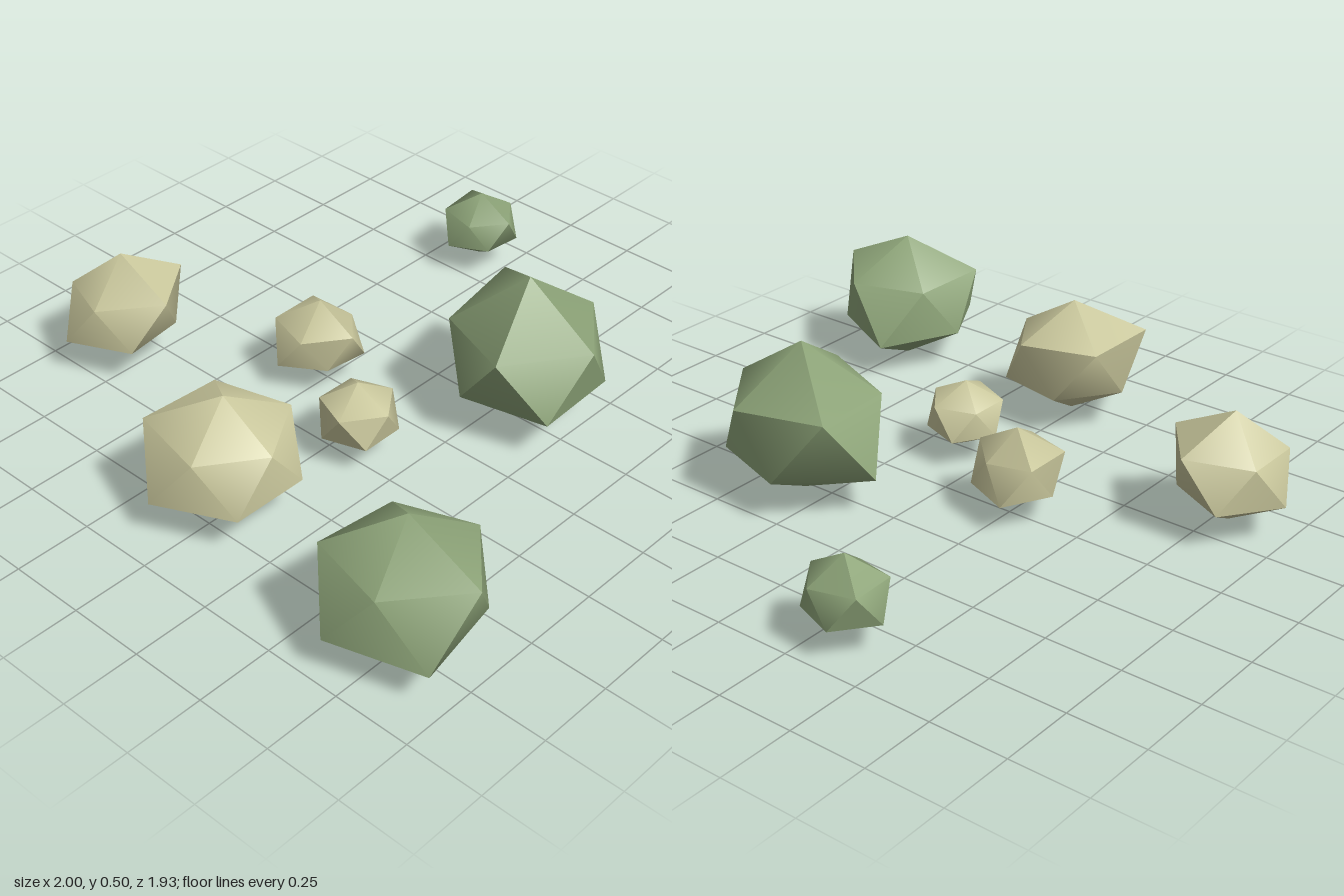
import * as THREE from 'three';
import { toCreasedNormals } from 'three/addons/utils/BufferGeometryUtils.js';

const SQUASH = 0.4; // ring height per unit of ring radius

// Twenty-sided stone: two poles and a zigzag ring of ten corners (even = upper, odd = lower).
function stoneGeometry(top, bottom, radii) {
  const pos = [0, top, 0, 0, bottom, 0];
  radii.forEach((r, i) => {
    const a = (i * Math.PI) / 5;
    pos.push(r * Math.cos(a), (i % 2 ? -1 : 1) * SQUASH * r, r * Math.sin(a));
  });
  const index = [];
  const ring = (i) => 2 + (i % 10);
  for (let i = 0; i < 10; i += 2) {
    const u = ring(i), l = ring(i + 1), u2 = ring(i + 2), l2 = ring(i + 3);
    index.push(0, u2, u, u, u2, l, l, u2, l2, 1, l, l2);
  }
  const geo = new THREE.BufferGeometry();
  geo.setAttribute('position', new THREE.Float32BufferAttribute(pos, 3));
  geo.setIndex(index);
  return toCreasedNormals(geo, 0.73);
}

export function createModel() {
  const sand = new THREE.MeshStandardMaterial({ name: 'sandStone', color: 0xc9c79c });
  const moss = new THREE.MeshStandardMaterial({ name: 'mossStone', color: 0x8fa67a });

  // name, material, centre, top and bottom heights, ring radii
  const stones = [
    ['smallMossStone', moss, [-0.335, 0.155, -0.847], 0.275, 0.04,
      [0.123, 0.112, 0.107, 0.128, 0.123, 0.134, 0.136, 0.13, 0.118, 0.124]],
    ['largeMossStone', moss, [0.33, 0.24, -0.28], 0.505, 0.01,
      [0.251, 0.257, 0.262, 0.236, 0.24, 0.287, 0.29, 0.247, 0.238, 0.245]],
    ['frontMossStone', moss, [0.742, 0.222, 0.713], 0.44, 0.0,
      [0.253, 0.27, 0.209, 0.263, 0.24, 0.225, 0.212, 0.258, 0.22, 0.217]],
    ['middleSandStone', sand, [-0.268, 0.155, 0.008], 0.29, 0.033,
      [0.14, 0.124, 0.139, 0.155, 0.144, 0.135, 0.145, 0.152, 0.112, 0.138]],
    ['smallSandStone', sand, [0.089, 0.15, 0.215], 0.262, 0.043,
      [0.123, 0.125, 0.13, 0.125, 0.117, 0.12, 0.115, 0.128, 0.119, 0.124]],
    ['sideSandStone', sand, [-0.812, 0.2, 0.345], 0.385, 0.023,
      [0.204, 0.185, 0.174, 0.207, 0.165, 0.188, 0.166, 0.187, 0.201, 0.162]],
    ['frontSandStone', sand, [-0.005, 0.218, 0.665], 0.412, 0.027,
      [0.192, 0.22, 0.195, 0.249, 0.236, 0.199, 0.223, 0.2, 0.212, 0.22]],
  ];

  const model = new THREE.Group();
  model.name = 'stones';
  for (const [name, material, centre, top, bottom, radii] of stones) {
    const mesh = new THREE.Mesh(stoneGeometry(top - centre[1], bottom - centre[1], radii), material);
    mesh.name = name;
    mesh.position.set(...centre);
    model.add(mesh);
  }
  return model;
}
